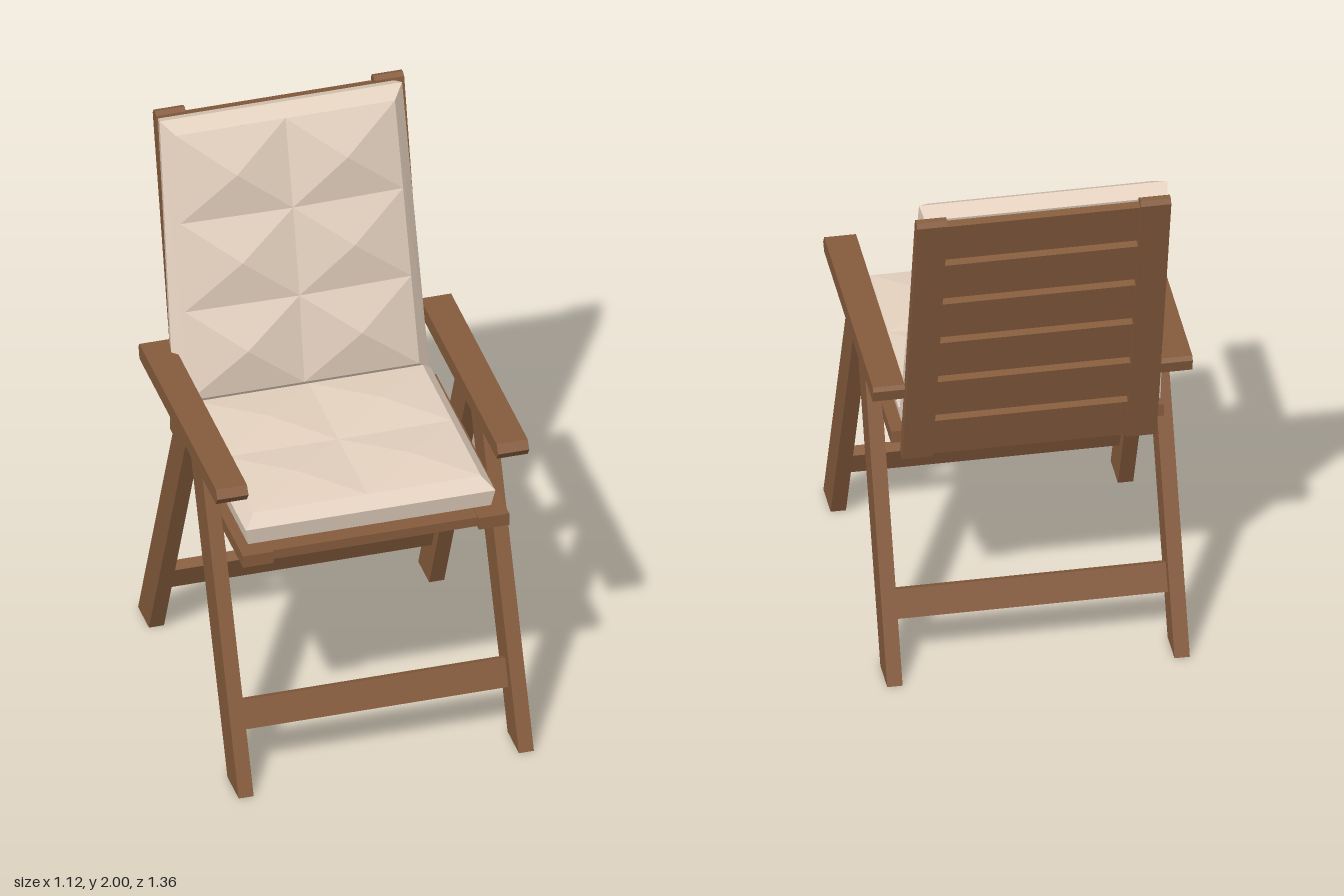
import * as THREE from 'three';

const wood = new THREE.MeshStandardMaterial({ color: 0x855b3c, flatShading: true });
const fabric = new THREE.MeshStandardMaterial({ color: 0xe3d0be, flatShading: true });

function add(parent, name, geometry, material = wood) {
  const mesh = new THREE.Mesh(geometry, material);
  mesh.name = name;
  parent.add(mesh);
  return mesh;
}

// Box given by its limits on each axis
function block(x0, x1, y0, y1, z0, z1) {
  return new THREE.BoxGeometry(x1 - x0, y1 - y0, z1 - z0)
    .translate((x0 + x1) / 2, (y0 + y1) / 2, (z0 + z1) / 2);
}

// Side outline of [z, y] points, extruded from x0 to x1
function sideExtrude(points, x0, x1) {
  const shape = new THREE.Shape(points.map(([z, y]) => new THREE.Vector2(z, y)));
  return new THREE.ExtrudeGeometry(shape, { depth: x1 - x0, bevelEnabled: false })
    .rotateY(-Math.PI / 2).translate(x1, 0, 0);
}

// Tufted cushion in the XY plane facing +z: straight sides, bevel, then nx * ny puffed cells
function cushion({ w, h, side, rim, seam, puff, inset, nx, ny, taper = 1 }) {
  const out = [];
  const tri = (...pts) => pts.forEach(p => out.push(...p));
  const quad = (a, b, c, d) => tri(a, b, c, a, c, d);
  const at = (x, y, z) => [x * (1 + (taper - 1) * (y / h + 0.5)), y, z];
  const ring = (d, z) => [[-1, -1], [1, -1], [1, 1], [-1, 1]]
    .map(([sx, sy]) => at(sx * (w / 2 - d), sy * (h / 2 - d), z));

  const base = ring(0.012, 0), edge = ring(0, side);
  quad(base[3], base[2], base[1], base[0]);

  const iw = w - 2 * inset, ih = h - 2 * inset;
  const node = (i, j) => {
    const inner = i > 0 && i < nx && j > 0 && j < ny;
    return at((i / nx - 0.5) * iw, (j / ny - 0.5) * ih, inner ? seam : rim);
  };
  for (let i = 0; i < nx; i++) {
    for (let j = 0; j < ny; j++) {
      const c = [node(i, j), node(i + 1, j), node(i + 1, j + 1), node(i, j + 1)];
      const mid = at(((i + 0.5) / nx - 0.5) * iw, ((j + 0.5) / ny - 0.5) * ih, puff);
      for (let k = 0; k < 4; k++) tri(c[k], c[(k + 1) % 4], mid);
    }
  }
  const top = [node(0, 0), node(nx, 0), node(nx, ny), node(0, ny)];
  for (let k = 0; k < 4; k++) {
    const n = (k + 1) % 4;
    quad(base[k], base[n], edge[n], edge[k]);
    quad(edge[k], edge[n], top[n], top[k]);
  }
  const geometry = new THREE.BufferGeometry();
  geometry.setAttribute('position', new THREE.Float32BufferAttribute(out, 3));
  geometry.computeVertexNormals();
  return geometry;
}

export function createModel() {
  const chair = new THREE.Group();
  chair.name = 'gardenChair';

  // Crossed-out legs and armrests, one set per side
  const frontLeg = [[0.54, 0], [0.68, 0], [0.2, 1.12], [0.057, 1.12]];
  const backLeg = [[-0.565, 0], [-0.43, 0], [0.053, 1.12], [-0.085, 1.12]];
  const arm = [[0.5, 1.115], [0.52, 1.145], [0.5, 1.175], [-0.447, 1.175],
    [-0.457, 1.16], [-0.445, 1.115]];
  for (const s of [1, -1]) {
    const label = s > 0 ? 'left' : 'right';
    const span = (a, b) => (s > 0 ? [a, b] : [-b, -a]);
    add(chair, label + 'FrontLeg', sideExtrude(frontLeg, ...span(0.478, 0.532)));
    add(chair, label + 'BackLeg', sideExtrude(backLeg, ...span(0.478, 0.532)));
    add(chair, label + 'Armrest', sideExtrude(arm, ...span(0.45, 0.562)));
    const [r0, r1] = span(0.37, 0.48);
    add(chair, label + 'SeatRail', block(r0, r1, 0.87, 0.917, -0.35, 0.555));
  }

  // Stretcher boards tilted along the front and back legs
  for (const s of [1, -1]) {
    const board = add(chair, s > 0 ? 'frontStretcher' : 'backStretcher',
      new THREE.BoxGeometry(0.96, 0.104, 0.042));
    board.position.set(0, 0.232, s > 0 ? 0.51 : -0.397);
    board.rotation.x = -s * 0.406;
  }

  // Seat slats
  const seatPitch = 0.885 / 6;
  for (let i = 0; i < 6; i++) {
    const z = -0.345 + i * seatPitch;
    add(chair, 'seatSlat', block(-0.375, 0.375, 0.876, 0.912, z, z + seatPitch - (i < 5 ? 0.022 : 0)));
  }

  // Seat cushion
  const seat = add(chair, 'seatCushion', cushion({
    w: 0.9, h: 0.8, side: 0.066, rim: 0.109, seam: 0.106, puff: 0.13, inset: 0.04, nx: 2, ny: 2,
  }), fabric);
  seat.rotation.x = -Math.PI / 2;
  seat.position.set(-0.004, 0.917, 0.098);

  // Reclined backrest: rails, slats and cushion, with its front face at local z = 0
  const back = new THREE.Group();
  back.name = 'backrest';
  back.position.set(0, 0.828, -0.343);
  back.rotation.x = -0.2456;
  chair.add(back);
  const railOutline = [[-0.045, 0.006], [-0.039, 0], [-0.006, 0], [0, 0.006],
    [0, 1.19], [-0.014, 1.204], [-0.031, 1.204], [-0.045, 1.19]];
  add(back, 'leftBackRail', sideExtrude(railOutline, 0.34, 0.447));
  add(back, 'rightBackRail', sideExtrude(railOutline, -0.447, -0.34));
  const backPitch = 0.2;
  for (let i = 0; i < 6; i++) {
    const y = 0.012 + i * backPitch;
    add(back, 'backSlat', block(-0.345, 0.345, y, y + 0.168, -0.038, -0.008));
  }
  const pad = add(back, 'backCushion', cushion({
    w: 0.92, h: 1.065, side: 0.062, rim: 0.108, seam: 0.125, puff: 0.158, inset: 0.045,
    nx: 2, ny: 3, taper: 0.95,
  }), fabric);
  pad.position.set(-0.015, 0.66, 0);

  return chair;
}
